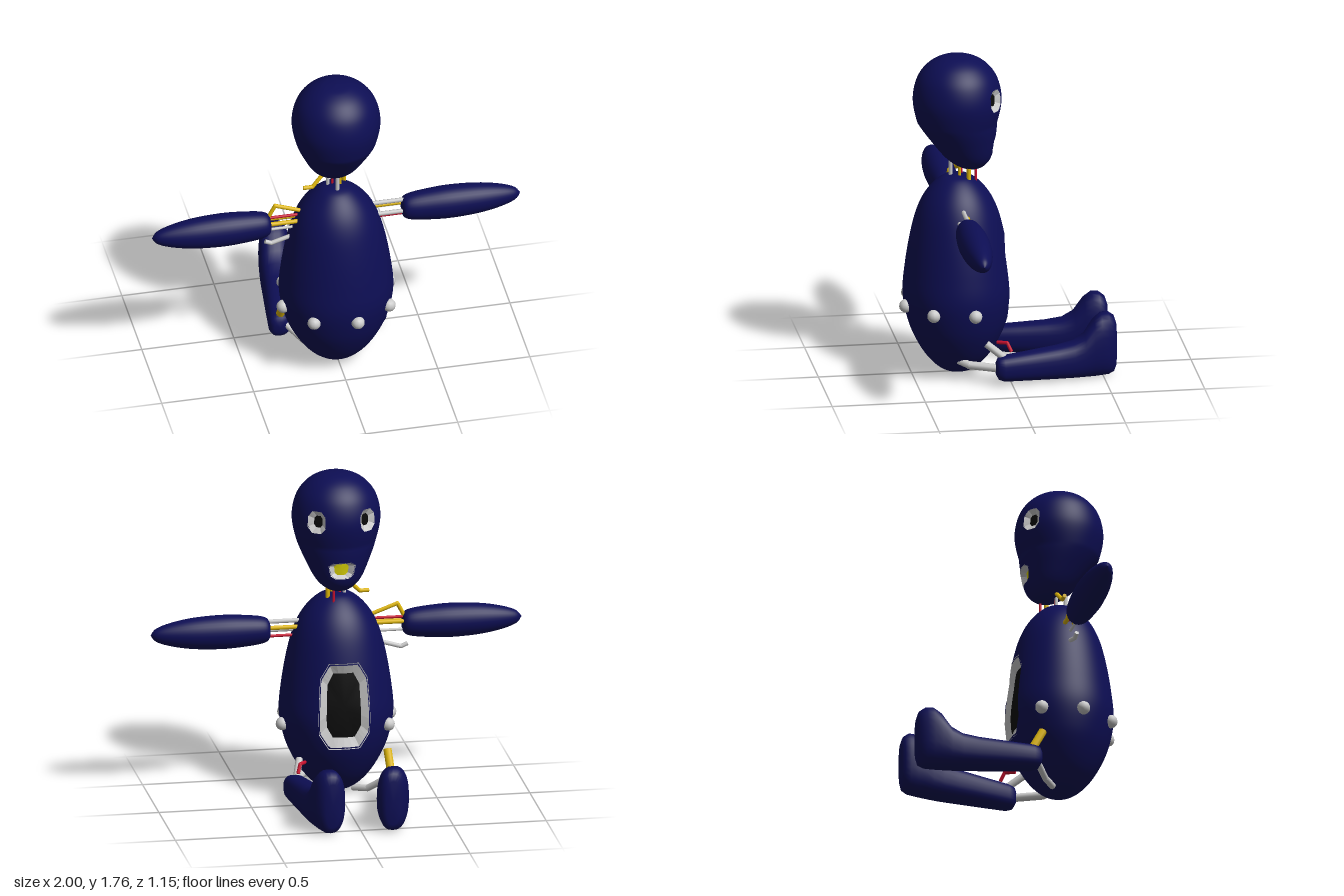
import * as THREE from 'three';
import { mergeGeometries, mergeVertices } from 'three/addons/utils/BufferGeometryUtils.js';

const mat = (color, extra = {}) => new THREE.MeshStandardMaterial({ color, ...extra });
const navy = mat(0x0d0e54);
const grey = mat(0xcccccc);
const rimGrey = mat(0xcccccc, { flatShading: true });
const black = mat(0x0a0a0a);
const yellow = mat(0xe0b808);
const mouthYellow = mat(0xe0d808);
const red = mat(0xc8102e);

function add(parent, name, geometry, material) {
  const mesh = new THREE.Mesh(geometry, material);
  mesh.name = name;
  parent.add(mesh);
  return mesh;
}

const spline = (pts, n) => new THREE.SplineCurve(pts.map(p => new THREE.Vector2(...p))).getPoints(n);

function fromIndexed(positions, index) {
  const g = new THREE.BufferGeometry();
  g.setAttribute('position', new THREE.Float32BufferAttribute(positions, 3));
  g.setIndex(index);
  g.computeVertexNormals();
  return g;
}

// Surface of revolution as a function of angle and height, with a leaning axis
function makeSurface(profile, depthScale, axisZ) {
  const pts = spline(profile, 90);
  const radius = y => {
    let i = 1;
    while (i < pts.length - 1 && pts[i].y < y) i++;
    const a = pts[i - 1], b = pts[i];
    return Math.max(0, THREE.MathUtils.mapLinear(y, a.y, b.y, a.x, b.x));
  };
  const point = (t, y, push = 0) => {
    const r = radius(y) + push;
    return [r * Math.sin(t), y, axisZ(y) + r * Math.cos(t) * depthScale];
  };
  return { pts, radius, point };
}

// Chamfered-rectangle measure: below 1 is inside the opening
const measure = (u, v, o) => {
  const a = Math.abs(u) / o.w, b = Math.abs(v) / o.h;
  return Math.max(a, b, (a + b) / o.corner);
};

// Skin with openings: inner vertices snap to each opening's edge, inner faces go
function addShell(parent, name, surface, openings) {
  const lathe = new THREE.LatheGeometry(surface.pts, 120);
  const rows = surface.pts.length, count = lathe.attributes.position.count;
  const pos = [], inside = [];
  for (let i = 0; i < count; i++) {
    let t = Math.floor(i / rows) / 120 * Math.PI * 2, y = surface.pts[i % rows].y;
    inside[i] = null;
    for (const o of openings) {
      const R = surface.radius(o.y), u = (t - o.angle) * R, v = y - o.y, m = measure(u, v, o);
      if (m < 1) {
        inside[i] = o;
        const k = 1 / Math.max(m, 1e-4);
        t = o.angle + u * k / R;
        y = o.y + v * k;
        break;
      }
    }
    pos.push(...surface.point(t, y));
  }
  const src = lathe.index.array, index = [];
  for (let i = 0; i < src.length; i += 3) {
    const [a, b, c] = [src[i], src[i + 1], src[i + 2]];
    if (!(inside[a] && inside[b] && inside[c])) index.push(a, b, c);
  }
  const g = fromIndexed(pos, index);
  g.deleteAttribute('normal');
  const welded = mergeVertices(g, 1e-5);
  welded.computeVertexNormals();
  add(parent, name, welded, navy);
  openings.forEach(o => addRecess(parent, surface, o));
}

// Sloping grey rim and sunken plate filling one opening
function addRecess(parent, surface, o) {
  const c = o.corner - 1, sub = 4, loop = [];
  const corners = [[1, -c], [1, c], [c, 1], [-c, 1], [-1, c], [-1, -c], [-c, -1], [c, -1]];
  corners.forEach((p, i) => {
    const q = corners[(i + 1) % 8];
    for (let k = 0; k < sub; k++) {
      loop.push([p[0] + (q[0] - p[0]) * k / sub, p[1] + (q[1] - p[1]) * k / sub]);
    }
  });
  const R = surface.radius(o.y), n = loop.length;
  const ring = (scale, push) => loop.flatMap(([u, v]) =>
    surface.point(o.angle + u * o.w * scale / R, o.y + v * o.h * scale, push));
  const rim = [], plate = [];
  for (let j = 0; j < n; j++) {
    const k = (j + 1) % n;
    rim.push(j, k, n + j, k, n + k, n + j);
    plate.push(n, j, k);
  }
  const inner = ring(o.inner, -o.depth);
  add(parent, o.name + 'Rim', fromIndexed([...ring(1.05, 0.003), ...inner], rim), rimGrey);
  add(parent, o.name + 'Plate',
    fromIndexed([...inner, ...surface.point(o.angle, o.y, -o.depth)], plate), o.fill);
}

// Straight wire segments with round joints
function addWire(parent, name, points, r, material) {
  const v = points.map(p => new THREE.Vector3(...p)), parts = [];
  for (let i = 0; i < v.length - 1; i++) {
    const d = v[i + 1].clone().sub(v[i]), mid = v[i].clone().lerp(v[i + 1], 0.5);
    const q = new THREE.Quaternion().setFromUnitVectors(new THREE.Vector3(0, 1, 0), d.clone().normalize());
    parts.push(new THREE.CylinderGeometry(r, r, d.length(), 8).applyQuaternion(q).translate(mid.x, mid.y, mid.z));
    if (i) parts.push(new THREE.SphereGeometry(r, 8, 6).translate(v[i].x, v[i].y, v[i].z));
  }
  add(parent, name, mergeGeometries(parts), material);
}

// Leg and upturned foot lofted along z: [z, bottom, top, half width]
function legGeometry(side) {
  const sections = [
    [0.085, 0.06, 0.13, 0.03], [0.072, 0.035, 0.152, 0.052], [0.04, 0.022, 0.162, 0.062],
    [-0.1, 0.016, 0.175, 0.07], [-0.25, 0.01, 0.19, 0.077], [-0.34, 0.007, 0.207, 0.082],
    [-0.4, 0.006, 0.245, 0.085], [-0.45, 0.005, 0.32, 0.087], [-0.49, 0.006, 0.352, 0.086],
    [-0.53, 0.008, 0.352, 0.08], [-0.56, 0.02, 0.33, 0.064], [-0.573, 0.05, 0.29, 0.038]];
  const n = 28, pos = [], index = [];
  const bend = c => Math.sign(c) * Math.abs(c) ** 0.8;
  const centre = ([z, lo, hi]) => [side * THREE.MathUtils.mapLinear(z, 0.08, -0.57, 0.265, 0.163), (lo + hi) / 2, z];
  sections.forEach((s, i) => {
    const [x, y, z] = centre(s);
    for (let j = 0; j < n; j++) {
      const a = j / n * Math.PI * 2, k = (j + 1) % n, p = i * n, q = p + n;
      pos.push(x + s[3] * bend(Math.cos(a)), y + (s[2] - s[1]) / 2 * bend(Math.sin(a)), z);
      if (i < sections.length - 1) index.push(p + j, q + j, p + k, p + k, q + j, q + k);
    }
  });
  const last = sections.length - 1, c = sections.length * n;
  pos.push(...centre(sections[0]), ...centre(sections[last]));
  for (let j = 0; j < n; j++) {
    const k = (j + 1) % n;
    index.push(c, j, k, c + 1, last * n + k, last * n + j);
  }
  return fromIndexed(pos, index);
}

export function createModel() {
  const model = new THREE.Group();
  model.name = 'doll';
  const group = name => {
    const g = new THREE.Group();
    g.name = name;
    model.add(g);
    return g;
  };

  // Egg-shaped torso with a belly opening
  const torso = makeSurface([[0, 0.005], [0.09, 0.03], [0.17, 0.1], [0.235, 0.2], [0.28, 0.31], [0.305, 0.45],
    [0.293, 0.6], [0.262, 0.78], [0.222, 0.92], [0.165, 1.02], [0.085, 1.092], [0, 1.112]], 0.95, () => 0.255);
  const body = group('body');
  addShell(body, 'torso', torso, [
    { name: 'belly', angle: Math.PI, y: 0.54, w: 0.135, h: 0.225, corner: 1.65, inner: 0.78, depth: 0.035, fill: black }]);

  // Studs around the lower torso
  for (const deg of [11, 56, 101, -34, -79, -124]) {
    const stud = add(body, 'stud', new THREE.SphereGeometry(0.036, 12, 8), grey);
    stud.position.set(...torso.point(deg * Math.PI / 180, 0.4, 0.005));
  }

  // Pear-shaped head with eyes and mouth
  const skull = makeSurface([[0, 1.135], [0.06, 1.148], [0.12, 1.2], [0.172, 1.3], [0.215, 1.41], [0.236, 1.53],
    [0.214, 1.64], [0.16, 1.715], [0.085, 1.758], [0, 1.77]], 1, y => 0.255 - 0.3 * Math.max(0, 1.4 - y));
  const eye = { y: 1.55, w: 0.05, h: 0.057, corner: 1.5, inner: 0.55, depth: 0.022, fill: black };
  addShell(group('head'), 'skull', skull, [
    { ...eye, name: 'leftEye', angle: 2.51 },
    { ...eye, name: 'rightEye', angle: Math.PI * 2 - 2.51 },
    { name: 'mouth', angle: Math.PI, y: 1.275, w: 0.066, h: 0.045, corner: 1.6, inner: 0.7, depth: 0.03, fill: mouthYellow }]);

  // Arms and legs
  const armProfile = spline([[0, 0.355], [0.05, 0.362], [0.073, 0.4], [0.086, 0.5], [0.092, 0.62], [0.084, 0.77],
    [0.063, 0.89], [0.035, 0.97], [0, 1]], 40);
  for (const side of [1, -1]) {
    const name = side > 0 ? 'left' : 'right';
    const arm = new THREE.LatheGeometry(armProfile, 32).rotateZ(-side * Math.PI / 2).scale(1, 1, 0.9).translate(0, 0.91, 0.255);
    add(model, name + 'Arm', arm, navy);
    add(model, name + 'Leg', legGeometry(side), navy);
  }

  // Shoulder wires: [side, y, z, radius, material]
  const shoulder = group('shoulderWires');
  for (const [s, y, z, r, m] of [
    [1, 0.955, 0.25, 0.012, grey], [1, 0.925, 0.23, 0.012, yellow], [1, 0.9, 0.275, 0.012, grey], [1, 0.873, 0.255, 0.008, red],
    [-1, 0.945, 0.25, 0.008, red], [-1, 0.925, 0.23, 0.012, yellow], [-1, 0.922, 0.278, 0.012, yellow], [-1, 0.873, 0.255, 0.008, grey]]) {
    addWire(shoulder, 'wire', [[s * 0.18, y, z], [s * 0.4, y, z]], r, m);
  }
  addWire(shoulder, 'brokenWire', [[-0.375, 0.935, 0.25], [-0.33, 1.02, 0.25], [-0.18, 0.965, 0.25]], 0.011, yellow);
  addWire(shoulder, 'brokenWire', [[-0.385, 0.795, 0.25], [-0.35, 0.78, 0.25], [-0.2, 0.825, 0.25]], 0.012, grey);

  // Neck wires: [x, z, radius, material]
  const neck = group('neckWires');
  for (const [x, z, r, m] of [[0, 0.29, 0.011, grey], [-0.04, 0.23, 0.01, grey], [0.055, 0.2, 0.012, yellow],
    [0.025, 0.245, 0.008, yellow], [0.03, 0.16, 0.007, red], [-0.015, 0.23, 0.007, red]]) {
    addWire(neck, 'wire', [[x, 1.05, z], [x, 1.2, z]], r, m);
  }
  addWire(neck, 'brokenWire', [[-0.175, 1.105, 0.24], [-0.125, 1.105, 0.24], [-0.06, 1.17, 0.22]], 0.011, yellow);

  // Hip wires
  const hip = group('hipWires');
  addWire(hip, 'wire', [[0.14, 0.12, 0.29], [0.2, 0.1, 0.22], [0.25, 0.09, 0.07]], 0.022, grey);
  addWire(hip, 'wire', [[0.22, 0.22, 0.13], [0.25, 0.15, 0.04]], 0.02, grey);
  addWire(hip, 'brokenWire', [[0.2, 0.22, 0.07], [0.235, 0.225, 0.02], [0.25, 0.18, 0]], 0.01, red);
  addWire(hip, 'wire', [[-0.25, 0.26, 0.1], [-0.26, 0.13, 0.03]], 0.023, yellow);
  addWire(hip, 'wire', [[-0.08, 0.025, 0.2], [-0.15, 0.035, 0.14], [-0.24, 0.11, 0.06]], 0.018, grey);
  return model;
}
